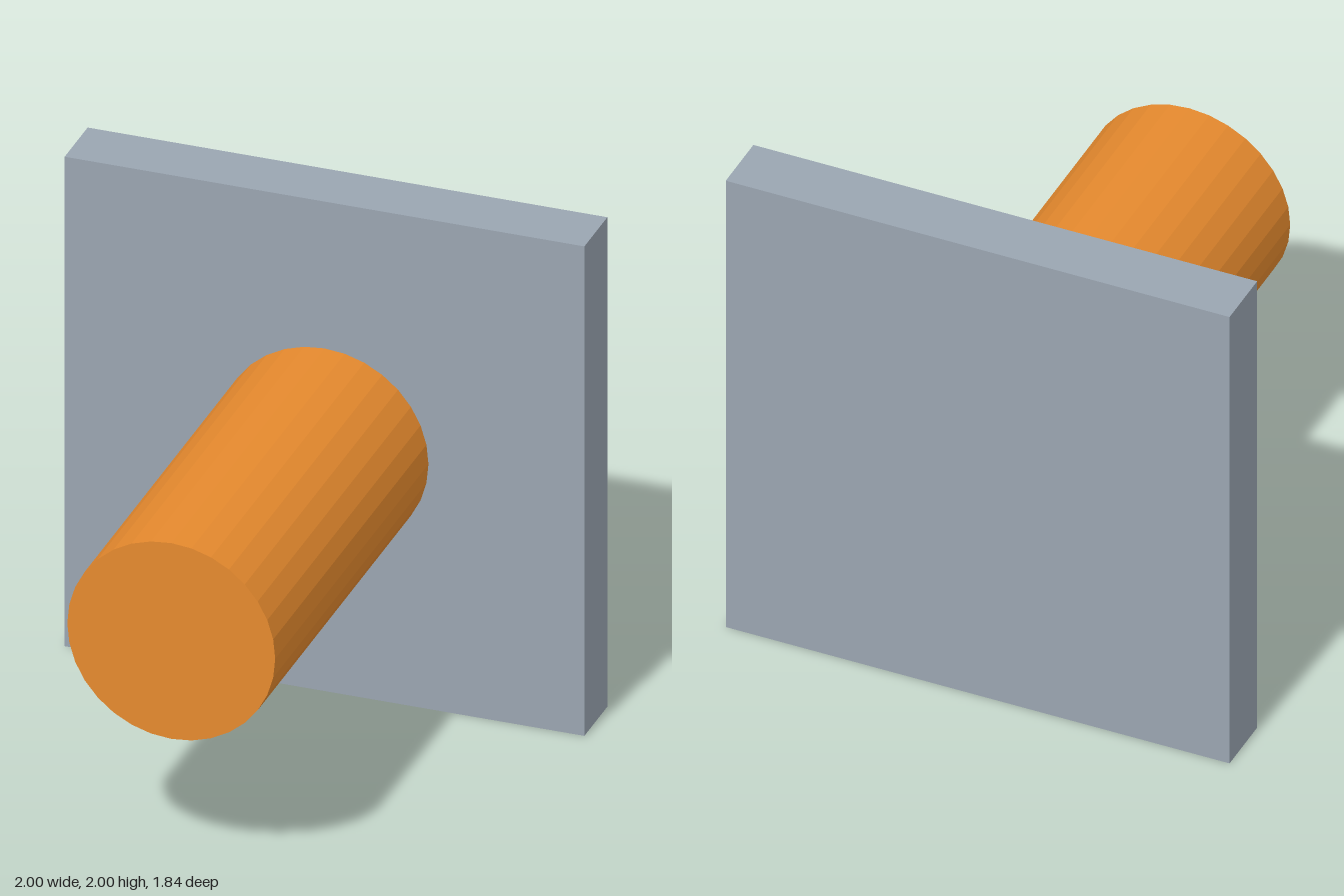
import * as THREE from 'three';

export function createModel() {
  const model = new THREE.Group();
  const part = (name, geometry, color, z) => {
    const material = new THREE.MeshStandardMaterial({ color, flatShading: true });
    const mesh = new THREE.Mesh(geometry, material);
    mesh.name = name;
    mesh.position.set(0, 1, z);
    model.add(mesh);
  };

  // Square plate standing upright at the back
  part('backPlate', new THREE.BoxGeometry(2, 2, 0.24), 0x9aa5b1, -0.8);

  // Faceted round peg reaching forward from the plate's centre
  const peg = new THREE.CylinderGeometry(0.4, 0.4, 1.6, 32).rotateX(Math.PI / 2);
  part('peg', peg, 0xe68a2e, 0.12);

  return model;
}
